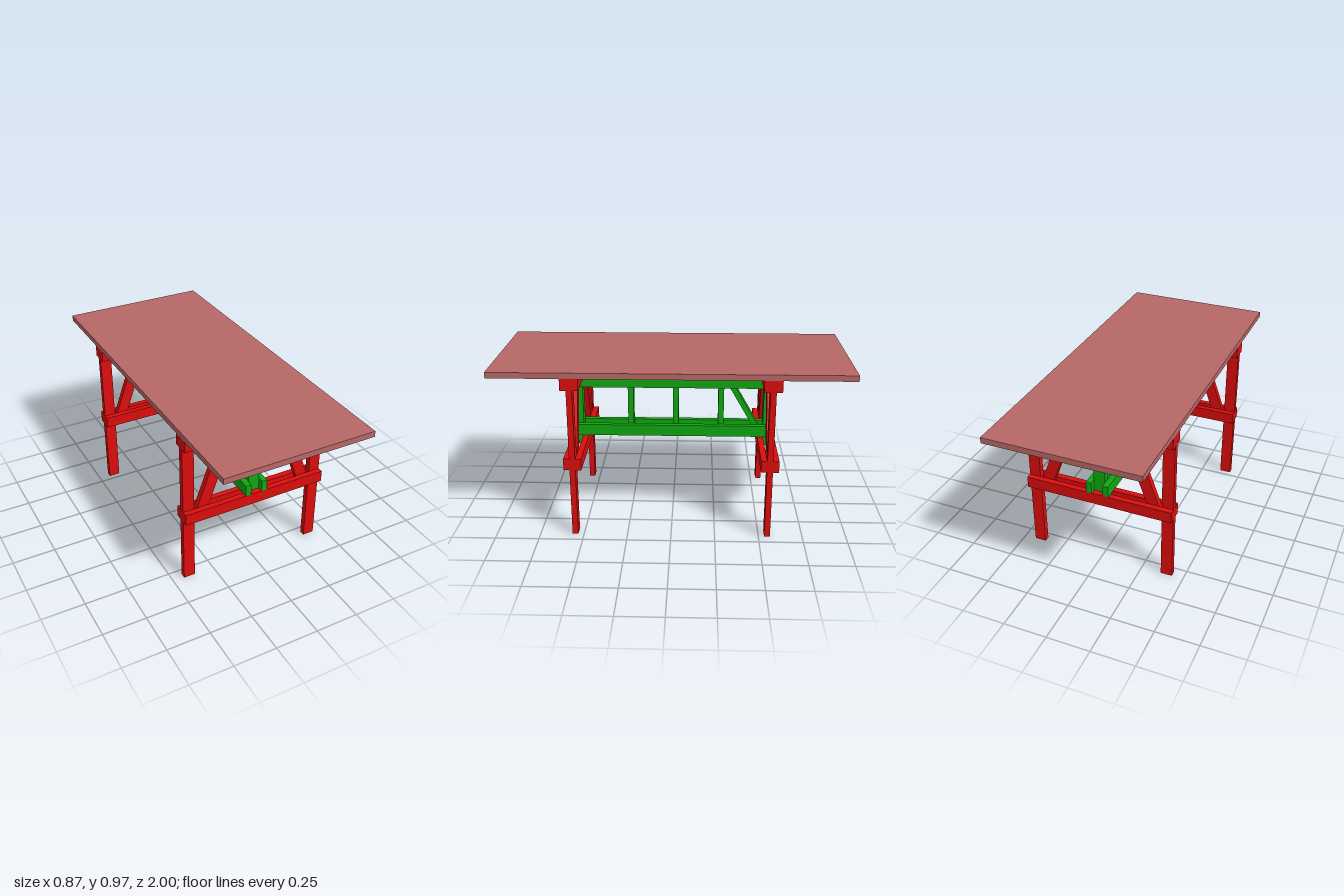
import * as THREE from 'three';

const red = new THREE.MeshStandardMaterial({ color: 0xdd0d0d });
const green = new THREE.MeshStandardMaterial({ color: 0x10a810 });
const topMat = new THREE.MeshStandardMaterial({ color: 0xb86868 });

const T = 1 / 30; // board thickness
const W = 2 * T;  // board width
const FRAME_Z = 0.55;

export function createModel() {
  const root = new THREE.Group();
  root.name = 'trestleTable';

  const add = (parent, name, geometry, material, x, y, z) => {
    const mesh = new THREE.Mesh(geometry, material);
    mesh.name = name;
    mesh.position.set(x, y, z);
    parent.add(mesh);
    return mesh;
  };
  const board = (parent, name, material, size, pos) =>
    add(parent, name, new THREE.BoxGeometry(...size), material, ...pos);

  // Slanted board with level-cut ends, in the xy plane, centred in depth
  const slanted = (u0, v0, u1, v1, width, depth) => {
    const h = width / 2;
    const shape = new THREE.Shape([
      new THREE.Vector2(u0 - h, v0), new THREE.Vector2(u0 + h, v0),
      new THREE.Vector2(u1 + h, v1), new THREE.Vector2(u1 - h, v1),
    ]);
    return new THREE.ExtrudeGeometry(shape, { depth, bevelEnabled: false })
      .translate(0, 0, -depth / 2);
  };

  // Table top
  board(root, 'tableTop', topMat, [0.867, T, 2], [0, 0.95, 0]);

  // End frames: legs and braces clamped between paired rails
  for (const end of [1, -1]) {
    const frame = new THREE.Group();
    frame.name = end > 0 ? 'frontFrame' : 'backFrame';
    frame.position.z = end * FRAME_Z;
    root.add(frame);
    for (const s of [1, -1]) {
      const side = s > 0 ? 'left' : 'right';
      board(frame, side + 'Leg', red, [W, 0.933, T], [s * 0.4, 0.4667, 0]);
      add(frame, side + 'Brace', slanted(s * 0.338, 0.4, s * 0.145, 0.933, 0.07, T), red, 0, 0, 0);
      board(frame, 'upperRail', red, [0.867, W, T], [0, 0.9, s * T]);
      board(frame, 'lowerRail', red, [0.867, W, T], [0, 0.4333, s * T]);
    }
    // Centre post carrying the stretcher
    board(frame, 'centrePost', green, [W, 0.533, T], [0, 0.6667, 0]);
  }

  // Long stretcher truss joining the frames
  const truss = new THREE.Group();
  truss.name = 'stretcher';
  root.add(truss);
  for (const s of [1, -1]) {
    board(truss, 'upperStretcher', green, [T, W, 1.2], [s * 0.05, 0.8, 0]);
    board(truss, 'lowerStretcher', green, [T, W, 1.2], [s * 0.05, 0.5, 0]);
  }
  for (const z of [0.25, -0.0167, -0.2833])
    board(truss, 'stretcherPost', green, [W, 0.3667, T], [0, 0.65, z]);

  // Single diagonal near the back end
  const diagonal = add(truss, 'stretcherDiagonal',
    slanted(0.522, 0.4667, 0.309, 0.8333, 0.036, W), green, 0, 0, 0);
  diagonal.rotation.y = Math.PI / 2;

  return root;
}
